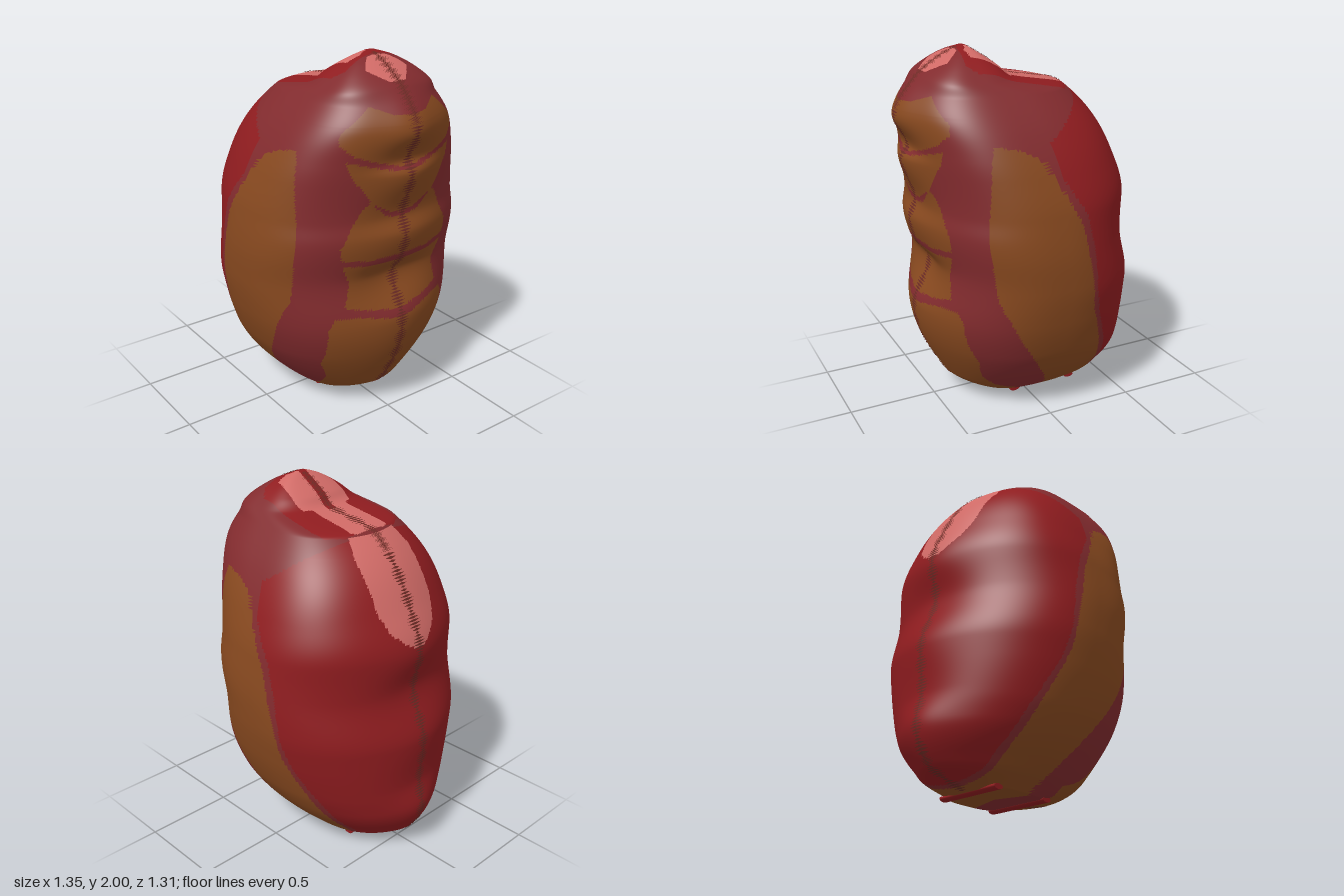
import * as THREE from 'three';

// Monotone smooth curve through [y, value] points
function curve(pts) {
  const n = pts.length;
  const s = [];
  for (let i = 0; i < n - 1; i++) s.push((pts[i + 1][1] - pts[i][1]) / (pts[i + 1][0] - pts[i][0]));
  const m = pts.map((_, i) => {
    if (i === 0) return s[0];
    if (i === n - 1) return s[n - 2];
    return s[i - 1] * s[i] <= 0 ? 0 : (2 * s[i - 1] * s[i]) / (s[i - 1] + s[i]);
  });
  return (y) => {
    let i = 0;
    while (i < n - 2 && y > pts[i + 1][0]) i++;
    const h = pts[i + 1][0] - pts[i][0];
    const t = (y - pts[i][0]) / h, t2 = t * t, t3 = t2 * t;
    return (2 * t3 - 3 * t2 + 1) * pts[i][1] + (t3 - 2 * t2 + t) * h * m[i]
      + (3 * t2 - 2 * t3) * pts[i + 1][1] + (t3 - t2) * h * m[i + 1];
  };
}

// Half depth, broad side outlines, and the bumpy outlines along the seam
const depth = curve([[0.012, 0.2], [0.1, 0.32], [0.2, 0.42], [0.3, 0.495], [0.4, 0.55], [0.6, 0.615], [0.8, 0.648],
  [0.95, 0.655], [1.2, 0.63], [1.4, 0.575], [1.6, 0.485], [1.8, 0.34], [1.9, 0.235], [1.97, 0.12], [2, 0.03]]);
const leftBroad = curve([[0.012, -0.33], [0.1, -0.56], [0.29, -0.645], [0.7, -0.65], [1, -0.59], [1.2, -0.595],
  [1.43, -0.52], [1.78, -0.26], [1.85, 0.06], [1.9, 0.12], [2, 0.27]]);
const rightBroad = curve([[0.012, 0.1], [0.05, 0.28], [0.15, 0.42], [0.59, 0.58], [0.85, 0.55], [1.1, 0.59],
  [1.2, 0.58], [1.5, 0.61], [1.66, 0.63], [1.85, 0.54], [1.95, 0.41], [2, 0.3]]);
const leftSeam = curve([[0.012, -0.33], [0.1, -0.58], [0.29, -0.67], [0.45, -0.64], [0.7, -0.66], [1, -0.57],
  [1.2, -0.61], [1.43, -0.53], [1.78, -0.27], [1.85, 0.07], [1.9, 0.12], [2, 0.27]]);
const rightSeam = curve([[0.012, 0.1], [0.05, 0.28], [0.15, 0.43], [0.59, 0.6], [0.85, 0.5], [0.96, 0.57], [1.1, 0.605],
  [1.2, 0.57], [1.44, 0.64], [1.5, 0.6], [1.66, 0.67], [1.85, 0.55], [1.95, 0.41], [2, 0.3]]);
// Squareness of each slice: 1 is an ellipse, lower is fuller
const leftFullness = curve([[0.012, 0.5], [0.15, 0.95], [1, 0.95], [1.6, 0.6], [2, 0.52]]);
const rightFullness = curve([[0.012, 0.5], [0.15, 0.78], [1.1, 0.78], [1.6, 0.6], [2, 0.52]]);

function surfacePoint(y, angle) {
  const cos = Math.cos(angle), c = Math.abs(cos);
  const [broad, seam, power] = cos > 0
    ? [rightBroad(y), rightSeam(y), rightFullness(y)]
    : [leftBroad(y), leftSeam(y), leftFullness(y)];
  const mid = (leftBroad(y) + rightBroad(y)) / 2;
  const x = mid + (broad - mid) * c ** power + (seam - broad) * c ** 18;
  return [x, y, depth(y) * Math.sin(angle)];
}

function inside(poly, u, v) {
  let hit = false;
  for (let i = 0, j = poly.length - 1; i < poly.length; j = i++) {
    const [a, b] = poly[i], [c, d] = poly[j];
    if ((b > v) !== (d > v) && u < ((c - a) * (v - b)) / (d - b) + a) hit = !hit;
  }
  return hit;
}

// Patches seen from the front (x, y)
const flankPatch = [[0.1, 1.5], [0.22, 1.55], [0.33, 1.57], [0.35, 1.5], [0.38, 1.1], [0.37, 1], [0.33, 0.75], [0.2, 0.5],
  [0.1, 0.35], [0, 0.2], [-0.07, 0.07], [-0.09, -0.1], [-0.39, -0.1], [-0.38, 0.05], [-0.36, 0.2], [-0.3, 0.4],
  [-0.2, 0.65], [-0.17, 0.85], [-0.1, 1.15], [-0.02, 1.3]];
const backPatch = [[-0.27, 1.775], [0.04, 1.55], [0, 1.4], [-0.13, 1.2], [-0.18, 1], [-0.21, 0.75], [-0.25, 0.6],
  [-0.36, 0.35], [-0.41, 0.15], [-0.43, -0.1], [-1, -0.1], [-1, 1.775]];
// Segments and the pale back patch seen from the sides (|z|, y)
const bellyPatches = [
  [[-0.1, 1.5], [0.05, 1.48], [0.2, 1.52], [0.3, 1.56], [0.36, 1.62], [0.35, 1.67], [0.2, 1.79], [0.1, 1.75], [-0.1, 1.74]],
  [[-0.1, 1.47], [0.05, 1.46], [0.15, 1.48], [0.33, 1.53], [0.31, 1.46], [0.2, 1.3], [0.07, 1.23], [-0.1, 1.2]],
  [[-0.1, 1.17], [0.1, 1.21], [0.2, 1.3], [0.24, 1.27], [0.35, 1.07], [0.34, 1], [0.2, 0.98], [-0.1, 0.99]],
  [[-0.1, 0.95], [0.2, 0.95], [0.33, 0.96], [0.28, 0.85], [0.31, 0.72], [0.2, 0.69], [-0.1, 0.65]],
  [[-0.1, 0.6], [0.1, 0.63], [0.25, 0.66], [0.36, 0.66], [0.39, 0.6], [0.38, 0.35], [0.31, 0.22], [0.24, -0.1], [-0.1, -0.1]],
];
const paleBackPatch = [[-0.1, 1.775], [0.16, 1.775], [0.2, 1.69], [0.2, 1.44], [0.16, 1.34], [0.08, 1.27], [0.03, 1.24], [-0.1, 1.23]];
// Patches seen from above (x, |z|)
const paleTopPatches = [
  [[-0.25, -0.1], [-0.25, 0.1], [-0.23, 0.13], [-0.1, 0.125], [0.06, 0.12], [0.08, 0.17], [0.13, 0.18], [0.22, 0.17],
    [0.3, 0.15], [0.31, 0.08], [0.29, 0.05], [0.29, -0.1]],
  [[0.32, -0.1], [0.34, 0.06], [0.38, 0.1], [0.42, 0.13], [0.47, 0.09], [0.51, 0.05], [0.52, -0.1]],
];
const crownPatch = [[-0.26, -0.1], [-0.24, 0.18], [-0.18, 0.27], [-0.1, 0.28], [0.1, 0.27], [0.3, 0.25], [0.35, 0.2], [0.31, -0.1]];

const MAROON = 0, RED = 1, BROWN = 2, PALE = 3;
function paint(x, y, z) {
  const w = Math.abs(z);
  if (x > 0.1 && bellyPatches.some((p) => inside(p, w, y))) return BROWN;
  if (x < -0.2 && inside(paleBackPatch, w, y)) return PALE;
  if (y > 1.75) {
    const centreBand = w < 0.025 && x > 0.03 && x < 0.3;
    if (!centreBand && paleTopPatches.some((p) => inside(p, x, w))) return PALE;
    if (inside(crownPatch, x, w)) return RED;
  }
  if (inside(backPatch, x, y)) return RED;
  return inside(flankPatch, x, y) ? BROWN : MAROON;
}

// Slice heights, closer together where the form turns over
const rows = [];
for (const [a, b, n] of [[0.012, 0.15, 25], [0.15, 1.7, 105], [1.7, 2, 100]]) {
  for (let i = 0; i < n; i++) rows.push(a + ((b - a) * i) / n);
}
rows.push(2);

function bodyGeometry() {
  const SEG = 280, pos = [], lists = [[], [], [], []];
  for (const y of rows) for (let j = 0; j < SEG; j++) pos.push(...surfacePoint(y, (j / SEG) * Math.PI * 2));
  const face = (...ids) => {
    const mean = (k) => (pos[ids[0] * 3 + k] + pos[ids[1] * 3 + k] + pos[ids[2] * 3 + k]) / 3;
    lists[paint(mean(0), mean(1), mean(2))].push(...ids);
  };
  const last = (rows.length - 1) * SEG, bottom = rows.length * SEG, top = bottom + 1;
  pos.push(-0.12, rows[0], 0, 0.285, 2, 0);
  for (let j = 0; j < SEG; j++) {
    const k = (j + 1) % SEG;
    for (let r = 0; r < last; r += SEG) {
      face(r + j, r + SEG + j, r + k);
      face(r + k, r + SEG + j, r + SEG + k);
    }
    face(bottom, j, k);
    face(top, last + k, last + j);
  }
  const g = new THREE.BufferGeometry();
  g.setAttribute('position', new THREE.Float32BufferAttribute(pos, 3));
  g.setIndex(lists.flat());
  let start = 0;
  lists.forEach((l, i) => { g.addGroup(start, l.length, i); start += l.length; });
  g.computeVertexNormals();
  return g;
}

// Row of narrow uneven teeth lying across the seam
function seamGeometry(side) {
  const pos = [], base = side > 0 ? 0 : Math.PI;
  for (let i = 1; i < rows.length - 2; i++) {
    const y = rows[i], half = (rows[i + 1] - y) * 0.4;
    const reach = (0.015 + 0.035 * Math.abs(Math.sin(i * 12.9898))) / Math.max(depth(y), 0.12);
    const at = (yy, a) => {
      const p = surfacePoint(yy, base + a);
      return [p[0] + side * 0.004, p[1] + (y > 1.7 && y < 1.99 ? 0.003 : 0), p[2]];
    };
    const up = at(y + half, 0), down = at(y - half, 0);
    pos.push(...down, ...up, ...at(y, reach), ...down, ...at(y, -reach), ...up);
  }
  const g = new THREE.BufferGeometry();
  g.setAttribute('position', new THREE.Float32BufferAttribute(pos, 3));
  g.computeVertexNormals();
  return g;
}

export function createModel() {
  const group = new THREE.Group();
  group.name = 'segmentedBody';
  const material = (name, color, options = {}) => {
    const m = new THREE.MeshStandardMaterial({ color, ...options });
    m.name = name;
    return m;
  };
  const skins = [material('maroon', 0x822b2e), material('red', 0x8f1c1f),
    material('brown', 0x88491f), material('paleRed', 0xd06a66)];
  const body = new THREE.Mesh(bodyGeometry(), skins);
  body.name = 'body';
  group.add(body);

  const seamSkin = material('darkSeam', 0x6a2a24, { side: THREE.DoubleSide });
  for (const side of [1, -1]) {
    const seam = new THREE.Mesh(seamGeometry(side), seamSkin);
    seam.name = side > 0 ? 'leftSeam' : 'rightSeam';
    group.add(seam);
  }

  // Two low rounded ridges under the base
  const ridgeGeometry = new THREE.CylinderGeometry(0.03, 0.03, 0.39, 16).rotateX(Math.PI / 2).scale(1, 0.5, 1);
  for (const x of [-0.29, 0.07]) {
    const ridge = new THREE.Mesh(ridgeGeometry, skins[RED]);
    ridge.position.set(x, 0.015, 0);
    ridge.name = x < 0 ? 'rightBaseRidge' : 'leftBaseRidge';
    group.add(ridge);
  }
  return group;
}
